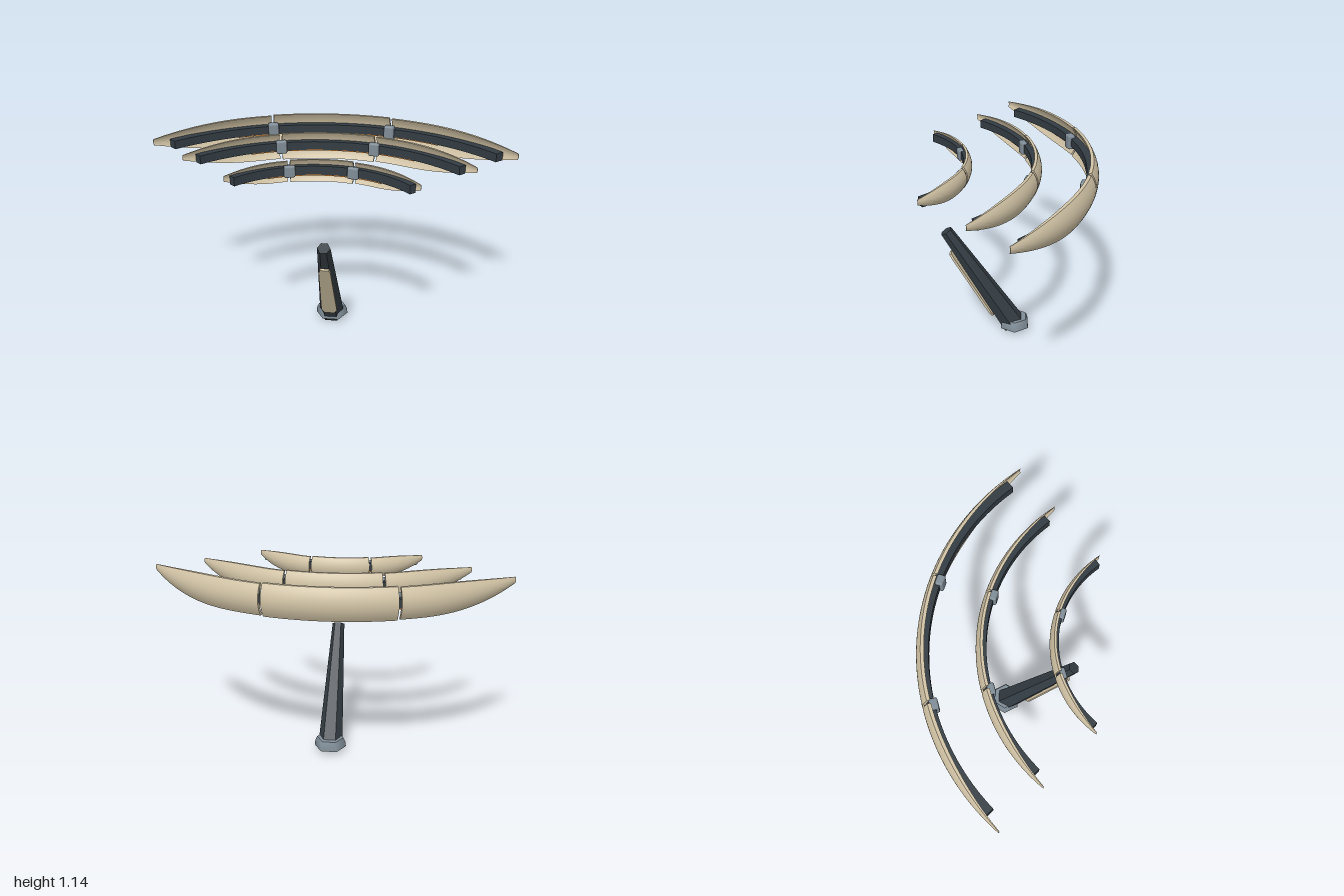
import * as THREE from 'three';
import { toCreasedNormals } from 'three/addons/utils/BufferGeometryUtils.js';
import { RoundedBoxGeometry } from 'three/addons/geometries/RoundedBoxGeometry.js';

const mat = (name, color) => Object.assign(new THREE.MeshStandardMaterial({ color }), { name });

// Sweep a closed section of [inward offset, y] pairs round a vertical-axis arc.
// The section lists its outer side upward, then its inner side downward.
function sweep(section, a0, a1, n, R, cz) {
  const pos = [];
  const rings = [];
  for (let j = 0; j <= n; j++) {
    const a = a0 + ((a1 - a0) * j) / n;
    rings.push(section(a).map(([off, y]) => [(R - off) * Math.sin(a), y, cz - (R - off) * Math.cos(a)]));
  }
  const quad = (a, b, c, d) => pos.push(...a, ...b, ...c, ...a, ...c, ...d);
  const m = rings[0].length;
  for (let j = 0; j < n; j++) {
    for (let i = 0; i < m; i++) {
      const k = (i + 1) % m;
      quad(rings[j][i], rings[j][k], rings[j + 1][k], rings[j + 1][i]);
    }
  }
  const s = rings[0], e = rings[n];
  for (let i = 0; i < m / 2 - 1; i++) {
    quad(s[i], s[m - 1 - i], s[m - 2 - i], s[i + 1]);
    quad(e[i], e[i + 1], e[m - 2 - i], e[m - 1 - i]);
  }
  const g = new THREE.BufferGeometry();
  g.setAttribute('position', new THREE.Float32BufferAttribute(pos, 3));
  return toCreasedNormals(g, 0.6);
}

export function createModel() {
  const model = new THREE.Group();
  model.name = 'model';
  const ivory = mat('ivory', 0xd2c4a6);
  const dark = mat('dark slate', 0x333c43);
  const steel = mat('steel', 0x808d97);
  const amber = mat('amber', 0xd9822b);

  const add = (parent, name, geometry, material) => {
    const mesh = new THREE.Mesh(geometry, material);
    mesh.name = name;
    parent.add(mesh);
    return mesh;
  };

  // Three nested curved blades, largest at the back
  const arcs = [
    { name: 'rearArc', X: 1, apex: -0.47, tipZ: 0.01, gaps: [-0.405, 0.31], mid: [0.97, 1.14], tip: [1.07, 1.105], k: 1, strip: 0.905, clamp: 0.085 },
    { name: 'middleArc', X: 0.775, apex: -0.165, tipZ: 0.21, gaps: [-0.305, 0.238], mid: [0.985, 1.127], tip: [1.065, 1.095], k: 0.85, strip: 0.7, clamp: 0.075 },
    { name: 'frontArc', X: 0.492, apex: 0.215, tipZ: 0.46, gaps: [-0.2, 0.152], mid: [1.0, 1.112], tip: [1.06, 1.09], k: 0.7, strip: 0.45, clamp: 0.065 },
  ];
  for (const { name, X, apex, tipZ, gaps, mid, tip, k, strip, clamp } of arcs) {
    const arc = new THREE.Group();
    arc.name = name;
    model.add(arc);
    const sag = tipZ - apex;
    const R = (X * X + sag * sag) / (2 * sag);
    const cz = apex + R;
    const angle = (x) => Math.asin(x / R);

    // Shell section: bowed outward, thinning and narrowing to the tips
    const shell = (grow) => (a) => {
      const u = Math.min(1, Math.abs(R * Math.sin(a)) / X);
      const f = 1 - Math.pow(Math.max(0, (u - 0.5) / 0.5), 2.5);
      const lo = THREE.MathUtils.lerp(tip[0], mid[0] - grow, f);
      const hi = THREE.MathUtils.lerp(tip[1], mid[1] + grow, f);
      const s = k * (0.15 + 0.85 * f);
      const outer = [], inner = [];
      for (let i = 0; i <= 10; i++) {
        const v = i / 5 - 1;
        const y = (lo + hi) / 2 + ((hi - lo) / 2) * v;
        const bow = 0.03 * s * v * v;
        outer.push([bow, y]);
        inner.unshift([bow + 0.018 * s, y]);
      }
      return [...outer, ...inner];
    };
    const g = 0.007;
    const pieces = [
      ['rightShell', -X, gaps[0] - g, 0],
      ['centreShell', gaps[0] + g, gaps[1] - g, 0.004],
      ['leftShell', gaps[1] + g, X, 0],
    ];
    for (const [part, x0, x1, grow] of pieces) {
      add(arc, part, sweep(shell(grow), angle(x0), angle(x1), 24, R, cz), ivory);
    }

    // Dark rail along the inside, with a thin amber line under it
    const band = (o0, o1, y0, y1) => () => [[o0, y0], [o0, y1], [o1, y1], [o1, y0]];
    const end = Math.asin(strip / (R - 0.04 * k));
    add(arc, 'innerRail', sweep(band(0.014 * k, 0.065 * k, 1.038, 1.085), -end, end, 40, R, cz), dark);
    add(arc, 'amberLine', sweep(band(0.016 * k, 0.058 * k, 1.031, 1.038), -end * 0.6, end * 0.6, 30, R, cz), amber);

    // Clamps bridging the gaps
    for (const x of gaps) {
      const a = angle(x);
      const r = R - 0.06 * k;
      const c = add(arc, 'clamp', new RoundedBoxGeometry(0.06, clamp, 0.045 * k, 1, 0.01), steel);
      c.position.set(r * Math.sin(a), 1.06, cz - r * Math.cos(a));
      c.rotation.y = -a;
    }
  }

  // Leaning six-sided handle
  const handleGeo = new THREE.CylinderGeometry(0.036, 0.072, 0.738, 6).rotateY(Math.PI / 6).toNonIndexed();
  handleGeo.computeVertexNormals();
  const handle = add(model, 'handle', handleGeo, dark);
  handle.position.set(0, 0.352, 0.179);
  handle.rotation.x = 0.55;

  // Floating grip plate in front of the handle
  const half = [[0.028, -0.24], [0.045, -0.205], [0.032, 0.21], [0.024, 0.24]];
  const outline = [...half, ...half.map(([x, y]) => [-x, y]).reverse()];
  const plateGeo = new THREE.ExtrudeGeometry(
    new THREE.Shape(outline.map(([x, y]) => new THREE.Vector2(x, y))), { depth: 0.013, bevelEnabled: false });
  const plate = add(model, 'gripPlate', plateGeo, ivory);
  plate.position.set(0, 0.322, 0.226);
  plate.rotation.x = 0.524;

  // Six-sided collar at the foot
  const profile = [[0, 0.03], [0.094, 0.03], [0.09, 0.062], [0.078, 0.086], [0, 0.086]];
  const collarGeo = new THREE.LatheGeometry(profile.map(([x, y]) => new THREE.Vector2(x, y)), 6).rotateY(Math.PI / 6);
  const collar = add(model, 'collar', toCreasedNormals(collarGeo, 1.1), steel);
  collar.position.z = -0.017;

  return model;
}
